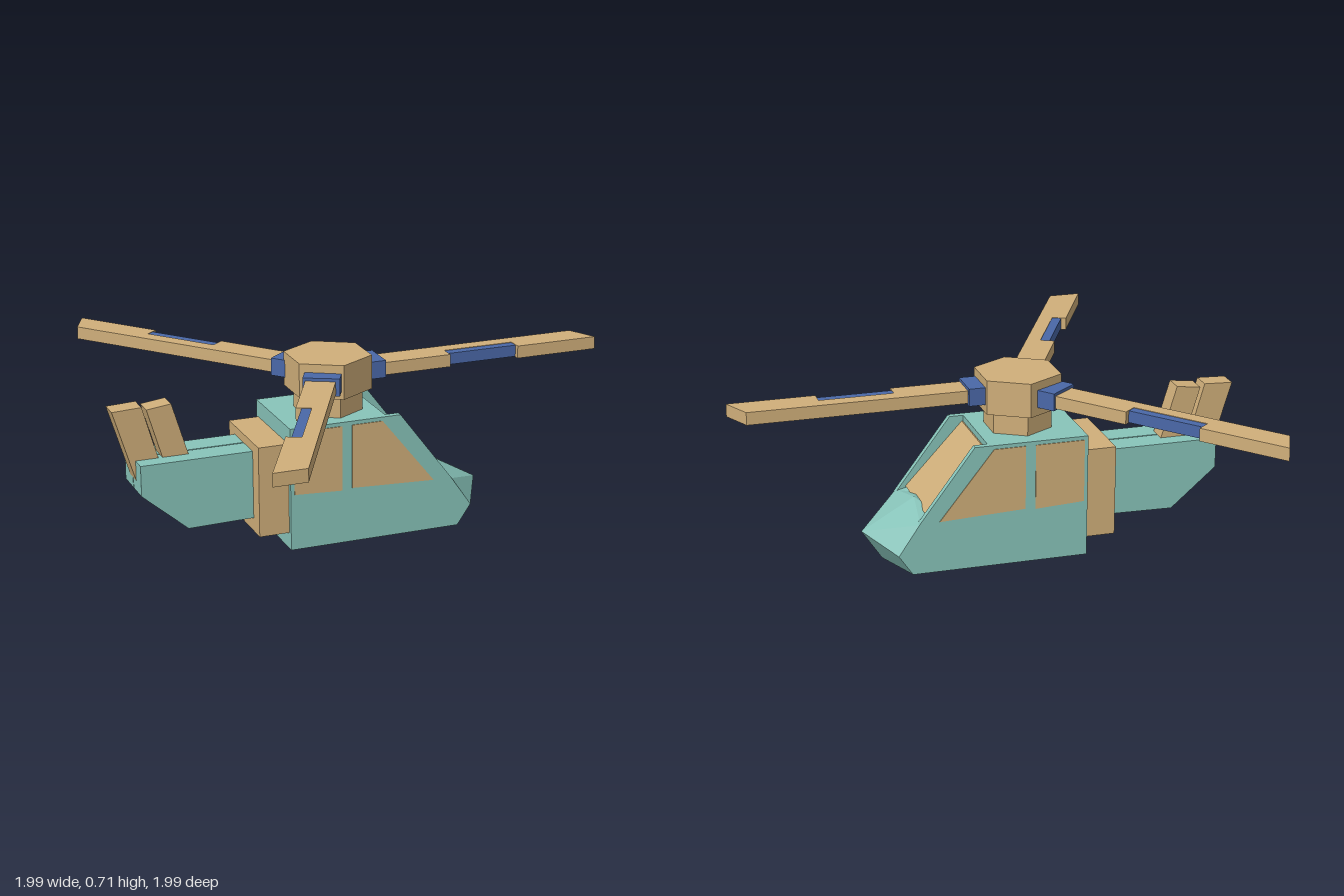
import * as THREE from 'three';
import { ConvexGeometry } from 'three/addons/geometries/ConvexGeometry.js';

const MID = -0.05; // z of the fuselage centre plane

export function createModel() {
  const teal = new THREE.MeshStandardMaterial({ color: 0x88c4ba });
  const tan = new THREE.MeshStandardMaterial({ color: 0xd0af7a });
  const blue = new THREE.MeshStandardMaterial({ color: 0x4a68a8 });
  teal.name = 'teal';
  tan.name = 'tan';
  blue.name = 'blue';

  const model = new THREE.Group();
  model.name = 'helicopter';

  function add(parent, name, geometry, material, x = 0, y = 0, z = 0) {
    const mesh = new THREE.Mesh(geometry, material);
    mesh.name = name;
    mesh.position.set(x, y, z);
    parent.add(mesh);
    return mesh;
  }
  // Side profile in x,y extruded between two z values
  function slab(points, z0, z1) {
    const shape = new THREE.Shape(points.map(([x, y]) => new THREE.Vector2(x, y)));
    return new THREE.ExtrudeGeometry(shape, { depth: z1 - z0, bevelEnabled: false }).translate(0, 0, z0);
  }
  // Outline in x,z extruded upwards
  function plank(points, y0, y1) {
    const flipped = points.map(([x, z]) => [x, -z]);
    return slab(flipped, y0, y1).rotateX(-Math.PI / 2);
  }
  function box(x0, x1, y0, y1, z0, z1) {
    return new THREE.BoxGeometry(x1 - x0, y1 - y0, z1 - z0)
      .translate((x0 + x1) / 2, (y0 + y1) / 2, (z0 + z1) / 2);
  }
  function hexPrism(radius, height) {
    const g = new THREE.CylinderGeometry(radius, radius, height, 6).toNonIndexed();
    g.computeVertexNormals();
    return g;
  }

  const fuselage = new THREE.Group();
  fuselage.name = 'fuselage';
  fuselage.position.z = MID;
  model.add(fuselage);

  // Cabin: the middle is set back for the windscreen, pillars close the sides
  const lower = [[-0.35, 0], [0.345, 0], [0.4, 0.08], [0.315, 0.205]];
  const roof = [[0.045, 0.49], [-0.35, 0.49]];
  add(fuselage, 'cabin', slab([...lower, [0.275, 0.215], [0.045, 0.465], ...roof], -0.165, 0.165), teal);
  const sideProfile = [...lower, [0.1, 0.49], [-0.35, 0.49]];
  add(fuselage, 'leftSidePanel', slab(sideProfile, 0.165, 0.19), teal);
  add(fuselage, 'rightSidePanel', slab(sideProfile, -0.19, -0.165), teal);
  add(fuselage, 'windscreen',
    slab([[0.275, 0.215], [0.281, 0.22], [0.051, 0.467], [0.045, 0.465]], -0.165, 0.165), tan);

  // Pointed nose with a raised centre ridge
  const nosePoints = [[0.29, 0.24], [0.5, 0.12], [0.42, 0]].map(([x, y]) => new THREE.Vector3(x, y, 0));
  for (const side of [-0.19, 0.19]) {
    for (const [x, y] of [[0.2, 0], [0.345, 0], [0.4, 0.08], [0.315, 0.2], [0.2, 0.2]]) {
      nosePoints.push(new THREE.Vector3(x, y, side));
    }
  }
  add(fuselage, 'nose', new ConvexGeometry(nosePoints), teal);

  // Side windows
  const rearWindow = [[-0.335, 0.225], [-0.14, 0.215], [-0.14, 0.475], [-0.335, 0.475]];
  const frontWindow = [[-0.1, 0.22], [0.24, 0.205], [0.025, 0.475], [-0.1, 0.475]];
  for (const z of [-0.19, 0.19]) {
    add(fuselage, 'rearWindow', slab(rearWindow, z - 0.003, z + 0.003), tan);
    add(fuselage, 'frontWindow', slab(frontWindow, z - 0.003, z + 0.003), tan);
  }

  // Collar between the cabin and the tail
  add(fuselage, 'tailCollar', box(-0.47, -0.345, 0.065, 0.425, -0.17, 0.17), tan);

  // Tail in two halves with a narrow seam
  const tail = [[-0.46, 0.12], [-0.46, 0.39], [-0.91, 0.39], [-0.91, 0.27], [-0.73, 0.115]];
  add(fuselage, 'leftTailHalf', slab(tail, 0.003, 0.104), teal);
  add(fuselage, 'rightTailHalf', slab(tail, -0.104, -0.003), teal);

  // Swept tail fins
  add(fuselage, 'rearFin',
    slab([[-0.995, 0.592], [-0.905, 0.295], [-0.82, 0.385], [-0.88, 0.597]], -0.04, 0.04), tan);
  add(fuselage, 'frontFin',
    slab([[-0.862, 0.585], [-0.802, 0.38], [-0.7, 0.38], [-0.765, 0.597]], -0.04, 0.04), tan);

  // Rotor
  const rotor = new THREE.Group();
  rotor.name = 'rotor';
  rotor.position.set(-0.127, 0, -0.043);
  model.add(rotor);
  add(rotor, 'mast', hexPrism(0.134, 0.1), tan, 0, 0.535, 0);
  add(rotor, 'hub', hexPrism(0.171, 0.135), tan, 0, 0.6425, 0);

  // Blades as [angle in degrees, stretch along the length]
  for (const [angle, stretch] of [[0, 1], [129.5, 1.065], [243, 1.07]]) {
    const blade = new THREE.Group();
    blade.name = 'rotorBlade';
    blade.rotation.y = THREE.MathUtils.degToRad(angle);
    rotor.add(blade);
    const outline = [[0.1, -0.052], [1.062, -0.052], [1.117, 0.063], [0.777, 0.063],
      [0.777, 0.005], [0.487, 0.005], [0.487, 0.063], [0.1, 0.063]];
    add(blade, 'blade', plank(outline, 0.615, 0.665), tan).scale.x = stretch;
    add(blade, 'bladeInsert', box(0.487, 0.777, 0.617, 0.663, 0.004, 0.042), blue).scale.x = stretch;
    add(blade, 'bladeCuff', box(0.13, 0.212, 0.608, 0.677, -0.068, 0.073), blue);
  }

  return model;
}
